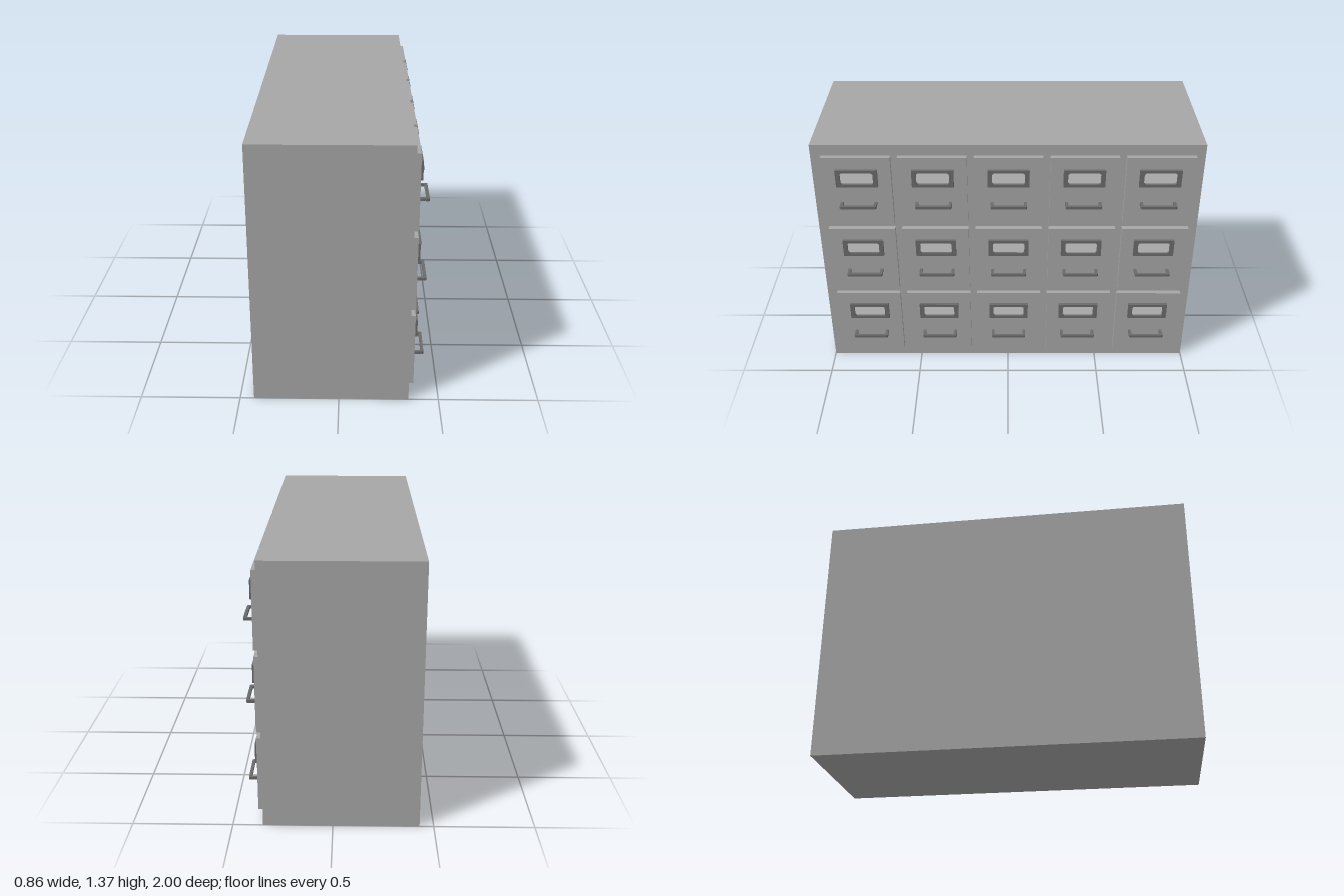
import * as THREE from 'three';

const paint = new THREE.MeshStandardMaterial({ name: 'grey paint', color: 0xa6a6a6 });
const metal = new THREE.MeshStandardMaterial({ name: 'dark metal', color: 0x6a6a6a });
const paper = new THREE.MeshStandardMaterial({ name: 'label paper', color: 0xd0d0d0 });

function addMesh(parent, name, geometry, material, x = 0, y = 0, z = 0) {
  const mesh = new THREE.Mesh(geometry, material);
  mesh.name = name;
  mesh.position.set(x, y, z);
  parent.add(mesh);
  return mesh;
}

// Rectangle centred on the origin, with chamfered corners if c > 0
function rectPoints(w, h, c = 0) {
  const x = w / 2, y = h / 2;
  const p = c > 0
    ? [[-x + c, -y], [x - c, -y], [x, -y + c], [x, y - c], [x - c, y], [-x + c, y], [-x, y - c], [-x, -y + c]]
    : [[-x, -y], [x, -y], [x, y], [-x, y]];
  return p.map(([a, b]) => new THREE.Vector2(a, b));
}

// Label frame: a plate with a window
function frameGeometry() {
  const shape = new THREE.Shape(rectPoints(0.214, 0.095));
  shape.holes.push(new THREE.Path(rectPoints(0.168, 0.066, 0.008)));
  return new THREE.ExtrudeGeometry(shape, { depth: 0.016, bevelEnabled: false });
}

// Pull handle: a flat U with chamfered outer corners, lying level
function handleGeometry() {
  const w = 0.094, d = 0.052, t = 0.015, c = 0.005;
  const shape = new THREE.Shape([
    [-w, 0], [-w + t, 0], [-w + t, d - t], [w - t, d - t], [w - t, 0], [w, 0],
    [w, d - c], [w - c, d], [-w + c, d], [-w, d - c],
  ].map(([a, b]) => new THREE.Vector2(a, b)));
  const geometry = new THREE.ExtrudeGeometry(shape, { depth: 0.014, bevelEnabled: false });
  return geometry.translate(0, 0, -0.007).rotateX(Math.PI / 2);
}

export function createModel() {
  const model = new THREE.Group();
  model.name = 'drawerCabinet';

  // Plain cabinet body
  addMesh(model, 'cabinetBody', new THREE.BoxGeometry(0.78, 1.365, 2), paint, -0.04, 0.6825, 0);

  const face = new THREE.BoxGeometry(0.351, 0.393, 0.026);
  const frame = frameGeometry();
  const label = new THREE.BoxGeometry(0.17, 0.068, 0.003);
  const handle = handleGeometry();

  // Three rows of five drawers, each built facing +z and turned to face +x
  for (let row = 0; row < 3; row++) {
    for (let column = 0; column < 5; column++) {
      const drawer = new THREE.Group();
      drawer.name = `drawer${row + 1}_${column + 1}`;
      drawer.position.set(0.35, 0.2585 + row * 0.426, -0.003 + (column - 2) * 0.387);
      drawer.rotation.y = Math.PI / 2;
      addMesh(drawer, 'drawerFront', face, paint, 0, 0, 0.013);
      addMesh(drawer, 'labelFrame', frame, metal, 0, 0.081, 0.026);
      addMesh(drawer, 'labelCard', label, paper, 0, 0.081, 0.0275);
      addMesh(drawer, 'drawerHandle', handle, metal, 0, -0.07, 0.026);
      model.add(drawer);
    }
  }
  return model;
}
